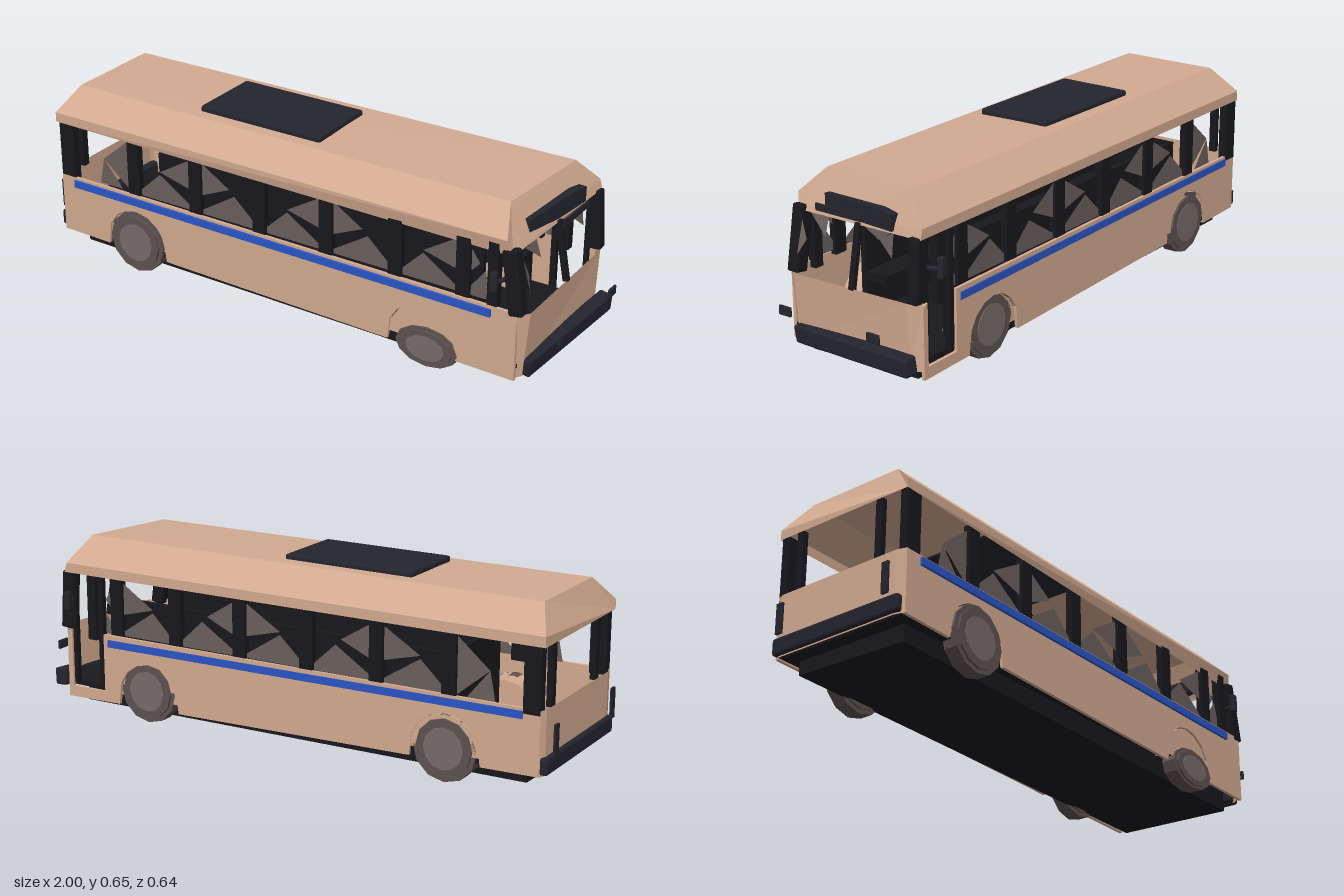
import * as THREE from 'three';
import { RoundedBoxGeometry } from 'three/addons/geometries/RoundedBoxGeometry.js';

const mat = (color, side = THREE.FrontSide) =>
  new THREE.MeshStandardMaterial({ color, flatShading: true, side });

export function createModel() {
  const bus = new THREE.Group();
  const paint = mat(0xd2aa90, THREE.DoubleSide);
  const dark = mat(0x18181d);
  const trim = mat(0x24242d);
  const blue = mat(0x2a55c4);
  const tyre = mat(0x5c5250);
  const hubMat = mat(0x776b69);
  const glass = mat(0x6a5f5c, THREE.DoubleSide);
  const rightTilt = 0.009; // the right side splays out a little to the front

  function add(name, geometry, material, x = 0, y = 0, z = 0) {
    const mesh = new THREE.Mesh(geometry, material);
    mesh.name = name;
    mesh.position.set(x, y, z);
    bus.add(mesh);
    return mesh;
  }
  // Box given by its limits on each axis, with an optional chamfer
  function box(name, m, x0, x1, y0, y1, z0, z1, chamfer = 0) {
    const size = [x1 - x0, y1 - y0, z1 - z0];
    const g = chamfer ? new RoundedBoxGeometry(...size, 1, chamfer) : new THREE.BoxGeometry(...size);
    return add(name, g, m, (x0 + x1) / 2, (y0 + y1) / 2, (z0 + z1) / 2);
  }
  // Straight bar between two points
  function bar(name, m, a, b, w, d) {
    const p = new THREE.Vector3(...a), q = new THREE.Vector3(...b);
    const mesh = add(name, new RoundedBoxGeometry(w, p.distanceTo(q), d, 1, Math.min(w, d) * 0.15), m);
    mesh.position.copy(p).add(q).multiplyScalar(0.5);
    mesh.quaternion.setFromUnitVectors(new THREE.Vector3(0, 1, 0), q.sub(p).normalize());
    return mesh;
  }
  function surface(name, m, triangles) {
    const g = new THREE.BufferGeometry();
    g.setAttribute('position', new THREE.Float32BufferAttribute(triangles.flat(), 3));
    g.computeVertexNormals();
    return add(name, g, m);
  }
  // Quads between two polylines, and a fan that closes a ring
  const strip = (a, b) => a.slice(1).flatMap((p, i) => [a[i], p, b[i + 1], a[i], b[i + 1], b[i]]);
  const fan = r => r.slice(2).flatMap((p, i) => [r[0], r[i + 1], p]);

  // Roof: angular shell with sloping ends, the front one set askew
  const roofRear = [[-0.97, 0.505, 0.285], [-0.97, 0.54, 0.285], [-0.92, 0.625, 0.197],
    [-0.92, 0.625, -0.165], [-0.97, 0.54, -0.255], [-0.97, 0.505, -0.255]];
  const roofFront = [[0.84, 0.48, 0.268], [0.825, 0.535, 0.28], [0.785, 0.622, 0.19],
    [0.825, 0.63, -0.178], [0.875, 0.54, -0.268], [0.885, 0.506, -0.268]];
  surface('roof', paint, [...strip(roofRear, roofFront), ...fan(roofRear), ...fan(roofFront)]);
  box('roofUnit', trim, -0.43, 0.055, 0.618, 0.645, -0.12, 0.152, 0.008);

  // Side walls with wheel arches; the right one also has a doorway
  const bottomAt = x => 0.085 - 0.019 * (x + 0.96);
  function sideWall(name, z, endX, door) {
    const s = new THREE.Shape();
    s.moveTo(-0.96, bottomAt(-0.96));
    for (const cx of [-0.63, 0.53]) {
      for (let i = 0; i <= 8; i++) {
        const a = Math.PI * (1 - i / 8), x = cx + 0.127 * Math.cos(a);
        s.lineTo(x, bottomAt(x) + 0.03 * (i > 0 && i < 8) + 0.13 * Math.sin(a));
      }
      // Arch liner
      const liner = new THREE.CylinderGeometry(0.127, 0.127, 0.1, 8, 1, false, Math.PI / 2, Math.PI);
      add('wheelArchLiner', liner.rotateX(Math.PI / 2), paint,
        cx, bottomAt(cx) + 0.03, z > 0 ? z - 0.045 : z + 0.057);
    }
    s.lineTo(endX, bottomAt(endX));
    s.lineTo(endX, 0.292);
    if (door) for (const [x, y] of [[0.86, 0.3], [0.86, 0.09], [0.72, 0.09], [0.72, 0.3]]) s.lineTo(x, y);
    s.lineTo(-0.96, 0.302);
    return add(name, new THREE.ExtrudeGeometry(s, { depth: 0.012, bevelEnabled: false }), paint, 0, 0, z);
  }
  sideWall('leftWall', 0.27, 0.87, false);
  sideWall('rightWall', -0.262, 0.88, true).rotation.y = rightTilt;

  // Front and rear panels
  surface('frontPanel', paint, strip(
    [[0.85, 0.05, 0.282], [0.88, 0.053, 0.245], [0.9, 0.075, -0.23], [0.88, 0.08, -0.268]],
    [[0.87, 0.285, 0.282], [0.9, 0.288, 0.245], [0.91, 0.304, -0.23], [0.88, 0.304, -0.268]]));
  surface('rearPanel', paint, strip(
    [[-0.96, 0.085, 0.282], [-0.97, 0.085, 0.245], [-0.97, 0.085, -0.23], [-0.96, 0.085, -0.254]],
    [[-0.96, 0.302, 0.282], [-0.97, 0.302, 0.245], [-0.97, 0.302, -0.23], [-0.96, 0.302, -0.254]]));

  // Chassis: long dark tray dipping to the front
  const chassis = box('chassis', dark, -0.9, 0.84, 0.02, 0.1, -0.21, 0.225);
  const cp = chassis.geometry.attributes.position;
  for (let i = 0; i < cp.count; i++) {
    if (cp.getY(i) < 0) cp.setY(i, -0.032 - 0.01 * cp.getX(i) - 0.03 * cp.getZ(i));
  }
  chassis.geometry.computeVertexNormals();
  box('floor', dark, -0.95, 0.87, 0.09, 0.105, -0.25, 0.268);

  // Stripes
  box('leftStripe', blue, -0.9, 0.78, 0.262, 0.288, 0.281, 0.291).rotation.z = -0.006;
  box('rightStripe', blue, -0.9, 0.7, 0.262, 0.288, -0.265, -0.257).rotation.set(0, rightTilt, -0.006);

  // Window pillars and jagged glass along both sides
  const pillars = [-0.64, -0.375, -0.11, 0.155, 0.42, 0.67];
  const stops = [...pillars, 0.77];
  for (const z of [0.262, -0.243]) {
    for (const x of pillars) box('windowPillar', dark, x - 0.025, x + 0.025, 0.285, 0.515, z - 0.012, z + 0.012);
    box('rearCornerPillar', dark, -0.96, -0.9, 0.285, 0.515, z - 0.012, z + 0.018);
    box('doorPillar', dark, 0.76, 0.795, 0.27, 0.515, z - 0.015, z + 0.015);
    const shards = [
      [-0.78, 0.4, z], [-0.66, 0.3, z], [-0.66, 0.5, z],
      [-0.78, 0.4, z], [-0.8, 0.302, z], [-0.7, 0.302, z]];
    stops.slice(0, -1).forEach((a, i) => {
      const b = stops[i + 1], mid = (a + b) / 2 + (i % 2 ? 0.025 : -0.025);
      shards.push([a, 0.3, z], [b, 0.3, z], [mid, 0.4, z]);
      if (i % 2) shards.push([a, 0.505, z], [a, 0.36, z], [mid - 0.02, 0.42, z]);
      else shards.push([b, 0.505, z], [b, 0.37, z], [mid, 0.41, z]);
    });
    surface('brokenGlass', glass, shards);
  }

  // Windscreen frame, rear window frame and doorway frame
  bar('frontCornerPillar', dark, [0.865, 0.28, 0.262], [0.83, 0.5, 0.258], 0.05, 0.045);
  bar('frontCornerPillar', dark, [0.885, 0.3, -0.247], [0.87, 0.51, -0.247], 0.05, 0.04);
  bar('windscreenBar', dark, [0.9, 0.29, -0.002], [0.86, 0.5, -0.002], 0.02, 0.02);
  surface('brokenWindscreen', glass, [
    [0.85, 0.485, 0.205], [0.85, 0.487, 0.13], [0.87, 0.425, 0.13],
    [0.86, 0.495, -0.02], [0.87, 0.505, -0.15], [0.87, 0.465, -0.09],
    [0.89, 0.35, 0.235], [0.86, 0.46, 0.235], [0.87, 0.4, 0.21],
    [0.87, 0.5, -0.15], [0.88, 0.42, -0.15], [0.87, 0.47, -0.09]]);
  for (const z of [0.165, -0.17]) box('rearWindowBar', dark, -0.965, -0.945, 0.295, 0.51, z - 0.013, z + 0.013);
  box('doorLeaf', dark, 0.725, 0.745, 0.1, 0.5, -0.262, -0.242);
  box('doorLeaf', dark, 0.845, 0.86, 0.1, 0.5, -0.262, -0.242);

  // Long benches facing the aisle, with a bulkhead behind them
  for (const [back, inner] of [[0.145, 0.05], [-0.19, -0.09]]) {
    box('benchBack', dark, -0.6, 0.68, 0.105, 0.42, back - 0.01, back + 0.01);
    box('benchSeat', dark, -0.6, 0.68, 0.22, 0.25, Math.min(back, inner), Math.max(back, inner));
  }
  box('bulkhead', dark, -0.62, -0.6, 0.105, 0.42, -0.2, 0.155);

  // Wheels; the front left one is crushed
  for (const [x, y, z, squash] of [[-0.63, 0.122, 0.26, 1], [-0.63, 0.122, -0.23, 1],
    [0.55, 0.071, 0.258, 0.62], [0.54, 0.118, -0.23, 1]]) {
    const wheel = new THREE.Group();
    wheel.name = 'wheel';
    const parts = [[0.115, 0.05, tyre], [0.1, 0.066, tyre], [0.072, 0.071, hubMat]];
    for (const [r, depth, m] of parts) {
      const part = new THREE.Mesh(new THREE.CylinderGeometry(r, r, depth, 12).rotateX(Math.PI / 2), m);
      part.name = m === hubMat ? 'hub' : 'tyre';
      wheel.add(part);
    }
    wheel.position.set(x, y, z);
    wheel.scale.y = squash;
    bus.add(wheel);
  }

  // Bumpers
  bar('frontBumper', trim, [0.882, 0.084, 0.243], [0.93, 0.11, -0.26], 0.05, 0.062);
  box('rearBumper', trim, -0.985, -0.945, 0.09, 0.148, -0.25, 0.27, 0.008);

  // Lamps, set slightly off the ends
  for (const z of [0.198, -0.163]) box('headlight', trim, 0.986, 0.996, 0.185, 0.218, z - 0.025, z + 0.025, 0.004);
  for (const z of [0.23, -0.21]) box('tailLight', trim, -1, -0.992, 0.15, 0.255, z - 0.013, z + 0.013);

  // Destination sign housing, turned with the roof front, and its loose plate
  const sign = new THREE.Shape([[0.152, 0.515], [-0.005, 0.503], [-0.158, 0.508], [-0.158, 0.56],
    [-0.1, 0.567], [0.152, 0.557]].map(([z, y]) => new THREE.Vector2(-z, y)));
  add('signHousing', new THREE.ExtrudeGeometry(sign, { depth: 0.035, bevelEnabled: false }), trim, 0.825)
    .rotation.y = Math.PI / 2 - 0.14;
  box('signPlate', trim, 0.926, 0.931, 0.536, 0.56, -0.074, 0.11);

  // Mirrors on short arms
  for (const [x, y, z, side] of [[0.8, 0.4, 0.31, 1], [0.84, 0.417, -0.31, -1]]) {
    box('mirror', trim, x - 0.012, x + 0.012, y - 0.034, y + 0.034, z - 0.011, z + 0.011, 0.005);
    bar('mirrorArm', trim, [x, y - 0.006, z], [x + 0.02, y - 0.006, z - side * 0.06], 0.012, 0.012);
  }
  return bus;
}
